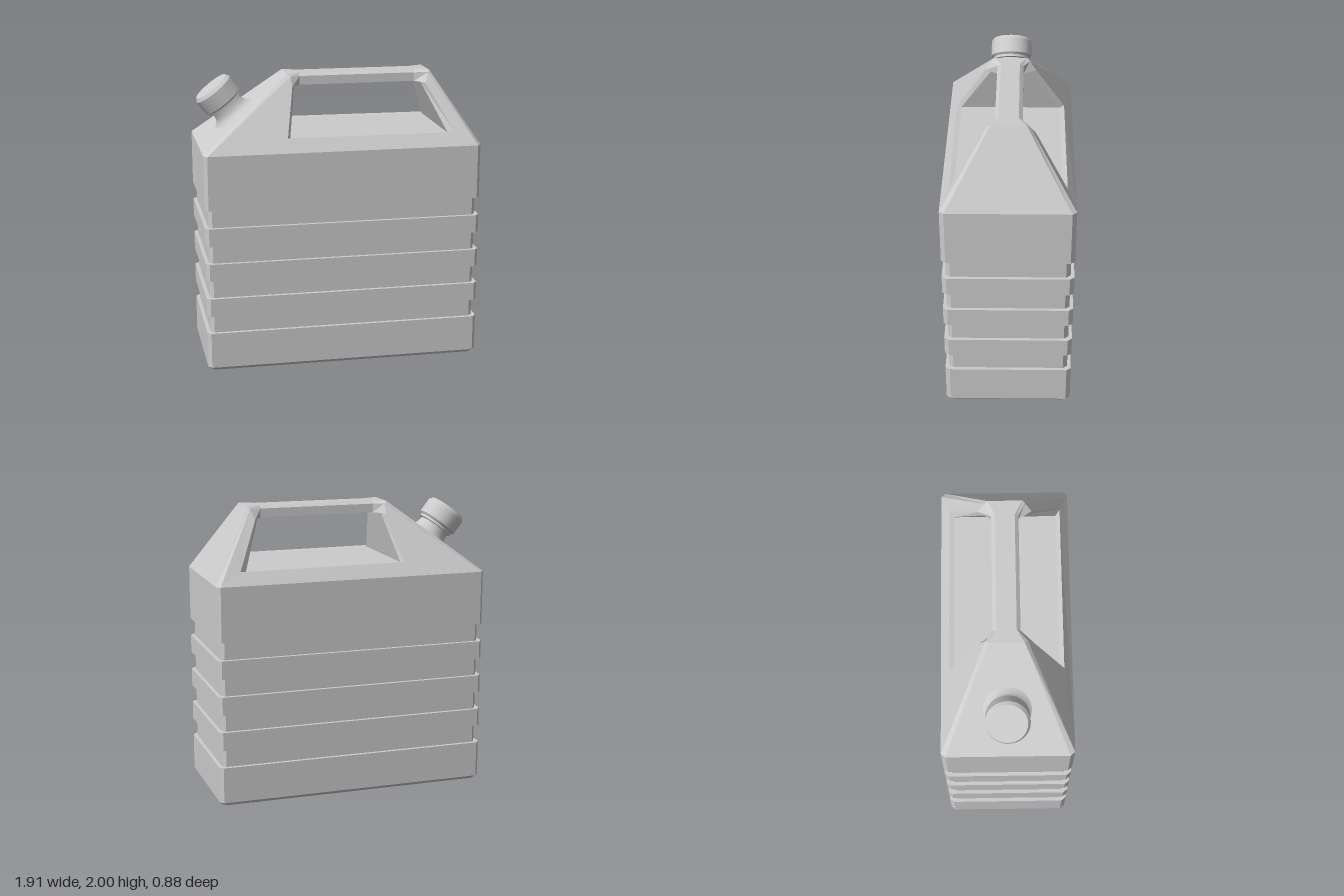
import * as THREE from 'three';

const flat = () => new THREE.MeshStandardMaterial({ color: 0xcccccc, flatShading: true });

function named(name, geometry, material) {
  const mesh = new THREE.Mesh(geometry, material);
  mesh.name = name;
  return mesh;
}

// Collects polygons (corners counter-clockwise from outside) as triangle fans
function polyBuilder() {
  const pos = [];
  return {
    add(...p) {
      for (let i = 1; i < p.length - 1; i++) pos.push(...p[0], ...p[i], ...p[i + 1]);
    },
    build() {
      const g = new THREE.BufferGeometry();
      g.setAttribute('position', new THREE.Float32BufferAttribute(pos, 3));
      g.computeVertexNormals();
      return g;
    },
  };
}

// Rectangle with chamfered corners at height y
function ring(y, inset) {
  const x = 0.955 - inset, z = 0.425 + 0.015 * (y / 1.52) - inset, cx = 0.025, cz = 0.03;
  return [
    [-x + cx, y, z], [x - cx, y, z], [x, y, z - cz], [x, y, -z + cz],
    [x - cx, y, -z], [-x + cx, y, -z], [-x, y, -z + cz], [-x, y, z - cz],
  ];
}

// Tank: stacked rings with four grooves
function tankGeometry() {
  const b = polyBuilder();
  const rings = [ring(0, 0.025), ring(0.025, 0)];
  for (let i = 0; i < 4; i++) {
    const low = 0.275 + i * 0.25 - (i > 1 ? 0.003 : 0), high = low + 0.124;
    rings.push(ring(low, 0), ring(low, 0.025), ring(high, 0.025), ring(high, 0));
  }
  rings.push(ring(1.52, 0));
  for (let k = 0; k < rings.length - 1; k++) {
    for (let i = 0; i < 8; i++) {
      const j = (i + 1) % 8;
      b.add(rings[k][i], rings[k][j], rings[k + 1][j], rings[k + 1][i]);
    }
  }
  b.add(...[...rings[0]].reverse());
  return b.build();
}

// Tapered shoulder with the grip opening; the front half is mirrored in z
const mid = ([x, y]) => [x, y, 0];
// foot corners and end-face corners
const A = [-0.93, 1.52, 0.44], B = [0.93, 1.52, 0.44];
const CL = [-0.955, 1.52, 0.41], CR = [0.955, 1.52, 0.41];
const EL = [-0.34, 2, 0.115], ER = [0.66, 2, 0.115];
const TL = [-0.32, 1.985, 0.135], TR = [0.645, 1.985, 0.135];
// opening outline on the slope, then its inner rim
const PL = [-0.38, 1.61, 0.381], PR = [0.78, 1.605, 0.381];
const QL = [-0.315, 1.92, 0.178], QR = [0.62, 1.92, 0.178];
const RL = [-0.36, 1.605, 0.35], RR = [0.735, 1.6, 0.35];
const SL = [-0.295, 1.92, 0.135], SR = [0.595, 1.92, 0.135];
// grip bar section: lower edge, upper edge, top edge
const HL = [-0.25, 1.92, 0.09], HR = [0.56, 1.92, 0.09];
const UL = [-0.25, 1.98, 0.09], UR = [0.56, 1.98, 0.09];
const VL = [-0.25, 2, 0.065], VR = [0.56, 2, 0.065];

function mirrored(faces) {
  const b = polyBuilder();
  for (const f of faces) {
    b.add(...f);
    b.add(...f.map(([x, y, z]) => [x, y, -z]).reverse());
  }
  return b.build();
}

const shoulderFaces = [
  // slopes beside and below the opening
  [A, B, PR, PL], [A, PL, QL, TL], [B, TR, QR, PR],
  // chamfered corners and end faces
  [A, TL, EL, CL], [B, CR, ER, TR],
  [CL, EL, mid(EL), mid(CL)], [CR, mid(CR), mid(ER), ER],
  // rim of the opening
  [PL, PR, RR, RL], [QL, PL, RL, SL], [PR, QR, SR, RR],
  // floor and walls of the opening
  [RL, RR, mid(RR), mid(RL)], [SL, RL, mid(RL), mid(SL)], [RR, SR, mid(SR), mid(RR)],
];

const handleFaces = [
  // bar side, chamfer, top and underside
  [HL, HR, UR, UL], [UL, UR, VR, VL], [VL, VR, mid(VR), mid(VL)], [mid(HL), mid(HR), HR, HL],
  // flared ends
  [QL, HL, UL, TL], [HR, QR, TR, UR], [TL, UL, VL, EL], [UR, TR, ER, VR],
  [EL, VL, mid(VL), mid(EL)], [VR, ER, mid(ER), mid(VR)],
  [QL, SL, HL], [HR, SR, QR],
  [mid(SL), mid(HL), HL, SL], [mid(HR), mid(SR), SR, HR],
];

// Lathe from [radius, height] pairs
const lathe = (pts) => new THREE.LatheGeometry(pts.map(([r, h]) => new THREE.Vector2(r, h)), 32);

// Stack of straight lathe bands, so that the edges between them stay sharp
function bands(group, name, pts, material) {
  for (let i = 0; i < pts.length - 1; i++) group.add(named(name, lathe([pts[i], pts[i + 1]]), material));
}

export function createModel() {
  const model = new THREE.Group();
  model.name = 'jerryCan';
  model.add(
    named('tank', tankGeometry(), flat()),
    named('shoulder', mirrored(shoulderFaces), flat()),
    named('handle', mirrored(handleFaces), flat()),
  );

  // Spout, square to the sloped end face
  const smooth = new THREE.MeshStandardMaterial({ color: 0xcccccc, side: THREE.DoubleSide });
  const spout = new THREE.Group();
  spout.name = 'spout';
  spout.add(named('neck', lathe([
    [0.165, -0.005], [0.145, 0.008], [0.128, 0.025], [0.117, 0.045], [0.112, 0.075], [0.112, 0.1],
  ]), smooth));
  bands(spout, 'cap', [
    [0.11, 0.085], [0.128, 0.088], [0.128, 0.105], [0.145, 0.118], [0.145, 0.222], [0.128, 0.245], [0, 0.245],
  ], smooth);
  spout.position.set(-0.7, 1.72, 0);
  spout.rotation.z = Math.atan2(0.48, 0.615);
  model.add(spout);
  return model;
}
